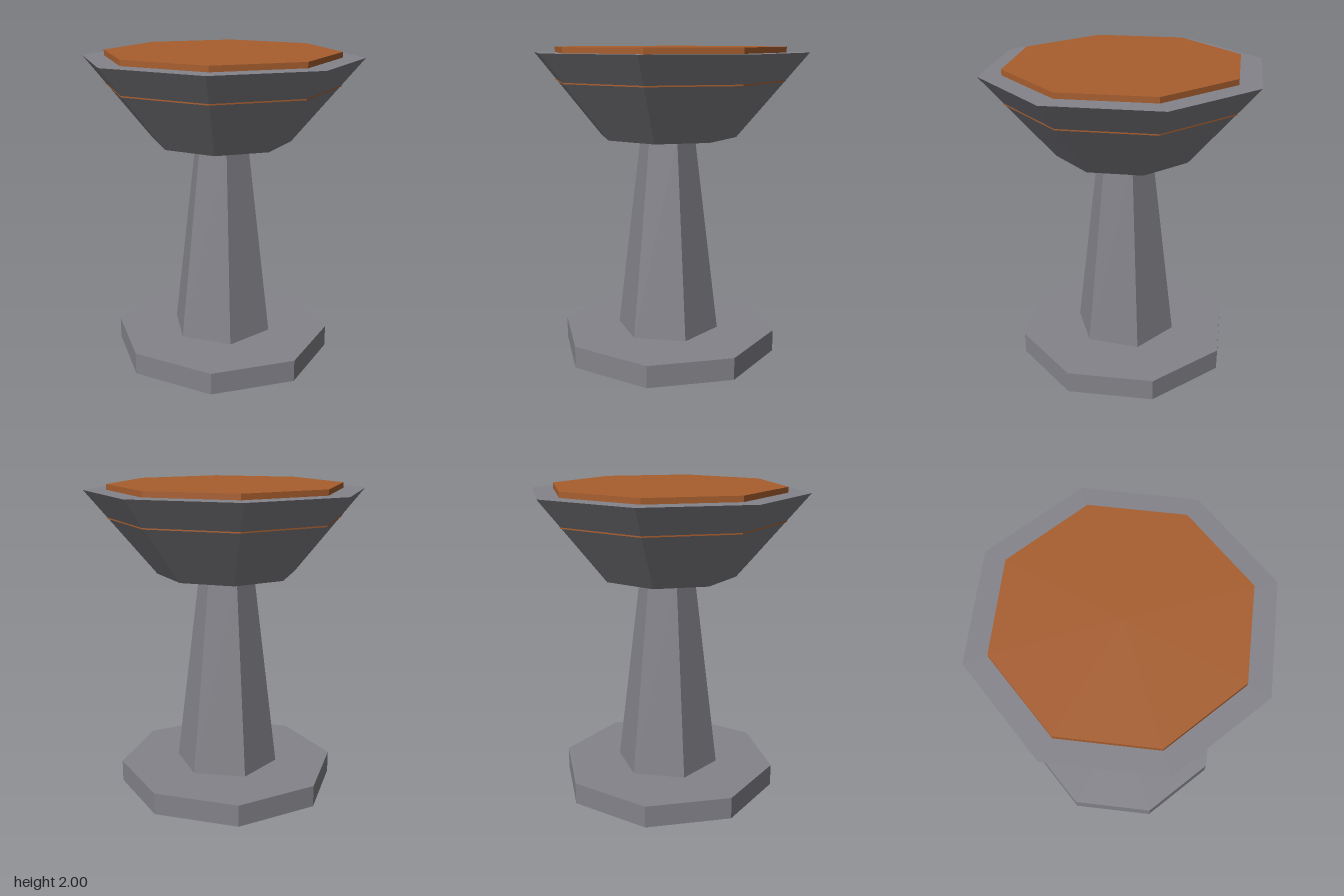
import * as THREE from 'three';

export function createModel() {
  const model = new THREE.Group();
  model.name = 'pedestalBrazier';

  const stone = new THREE.MeshStandardMaterial({ color: 0x84838a });
  stone.name = 'greyStone';
  const ember = new THREE.MeshStandardMaterial({ color: 0xa85e2e });
  ember.name = 'emberOrange';

  // Faceted, capped frustum standing between two heights
  function frustum(name, material, sides, rBottom, rTop, y0, y1, turn = 0) {
    const faceted = new THREE.CylinderGeometry(rTop, rBottom, y1 - y0, sides, 1, false, turn).toNonIndexed();
    faceted.computeVertexNormals();
    const mesh = new THREE.Mesh(faceted, material);
    mesh.name = name;
    mesh.position.y = (y0 + y1) / 2;
    model.add(mesh);
  }

  // Octagonal foot
  frustum('base', stone, 8, 0.713, 0.713, 0, 0.142);
  // Tapered six-sided column, corners on the x axis
  frustum('column', stone, 6, 0.338, 0.178, 0.142, 1.435, Math.PI / 6);
  // Flared octagonal bowl
  frustum('bowl', stone, 8, 0.445, 0.89, 1.433, 1.965);
  // Thick filling: rises above the rim and shows as a fine seam around the bowl
  frustum('filling', ember, 8, 0.748, 0.748, 1.787, 2);

  return model;
}
